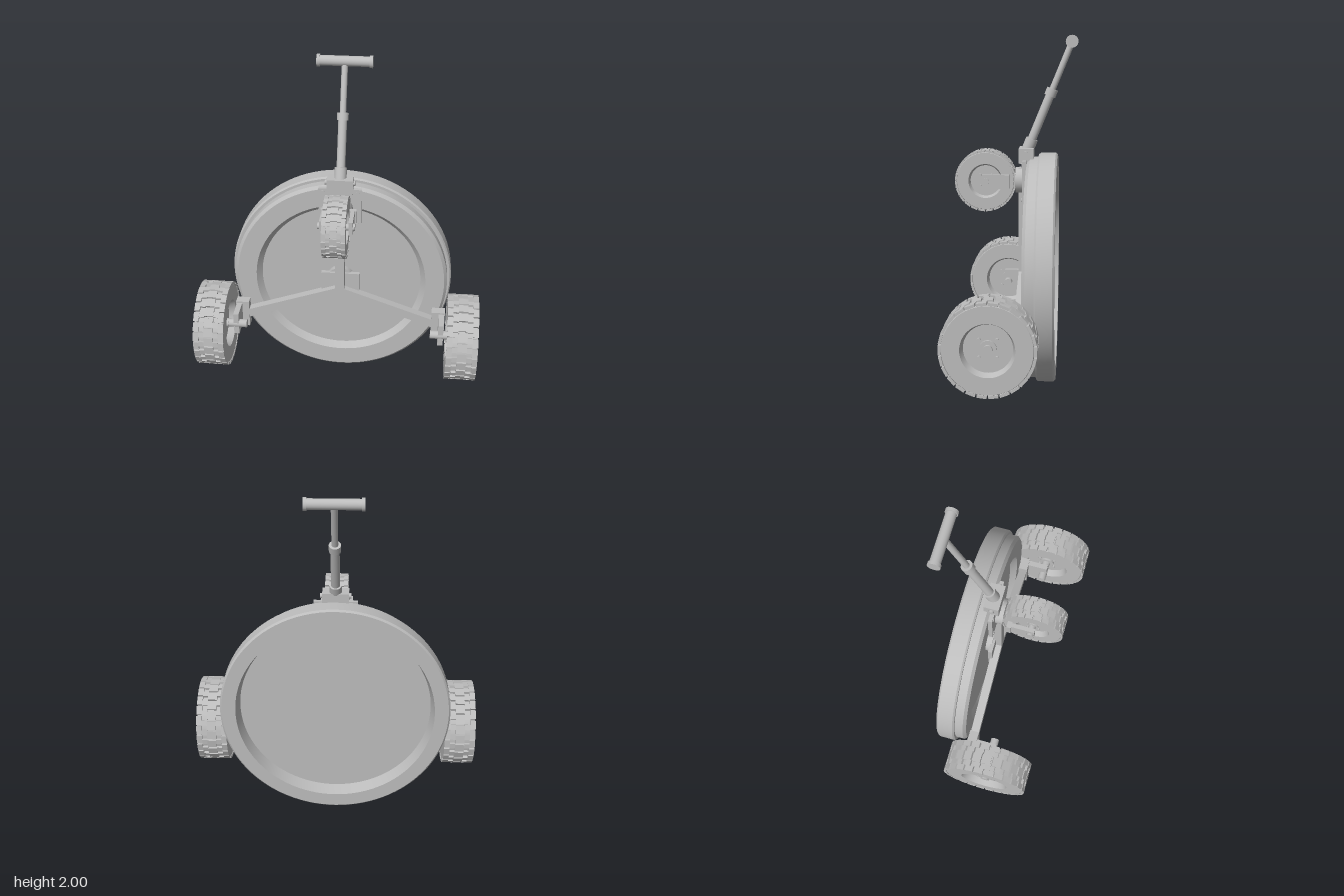
import * as THREE from 'three';
import { toCreasedNormals } from 'three/addons/utils/BufferGeometryUtils.js';

const grey = new THREE.MeshStandardMaterial({ color: 0xbcbcbc });
grey.name = 'grey metal';

function add(parent, name, geometry, x = 0, y = 0, z = 0) {
  const mesh = new THREE.Mesh(geometry, grey);
  mesh.name = name;
  mesh.position.set(x, y, z);
  parent.add(mesh);
  return mesh;
}

// Box given by its limits on each axis
function block(parent, name, x0, x1, y0, y1, z0, z1) {
  return add(parent, name, new THREE.BoxGeometry(x1 - x0, y1 - y0, z1 - z0),
    (x0 + x1) / 2, (y0 + y1) / 2, (z0 + z1) / 2);
}

// Cylinder between two points
function rod(parent, name, r, from, to, sides = 24) {
  const a = new THREE.Vector3(...from), b = new THREE.Vector3(...to);
  const mesh = add(parent, name, new THREE.CylinderGeometry(r, r, a.distanceTo(b), sides));
  mesh.position.copy(a).add(b).multiplyScalar(0.5);
  mesh.quaternion.setFromUnitVectors(new THREE.Vector3(0, 1, 0), b.sub(a).normalize());
  return mesh;
}

function lathe(points, sides) {
  const profile = points.map(([r, h]) => new THREE.Vector2(r, h));
  return toCreasedNormals(new THREE.LatheGeometry(profile, sides), 0.3);
}

// Wheel turning about x: tyre with dished rims, staggered tread blocks, hub and bolts
function makeWheel(name, R, h, rim, count) {
  const wheel = new THREE.Group();
  wheel.name = name;
  const base = R * 0.945, dish = h * 0.5;
  const half = [[0, dish], [rim * 0.9, dish], [rim, h * 0.96], [base * 0.985, h * 0.96], [base, h * 0.88]];
  const profile = [...half.map(([r, t]) => [r, -t]), ...half.slice().reverse()];
  add(wheel, 'tyreAndRim', lathe(profile, 64).rotateZ(-Math.PI / 2));

  // Tread rows: centre, width, block length in pitches, phase in pitches
  const pitch = (Math.PI * 2) / count, depth = R * 0.06;
  const rows = [[0, 0.6, 0.82, 0]];
  for (const s of [-1, 1]) rows.push([s * 0.47, 0.36, 0.5, 0.25], [s * 0.82, 0.36, 0.84, 0.5]);
  for (const [centre, width, length, phase] of rows) {
    const lug = new THREE.BoxGeometry(h * width, depth, R * pitch * length);
    for (let i = 0; i < count; i++) {
      const a = (i + phase) * pitch, r = R - depth / 2;
      add(wheel, 'treadBlock', lug, centre * h, Math.cos(a) * r, Math.sin(a) * r).rotation.x = a;
    }
  }
  for (const s of [-1, 1]) {
    rod(wheel, 'hubBoss', rim * 0.32, [s * dish * 0.8, 0, 0], [s * (dish + 0.012), 0, 0]);
    rod(wheel, 'hubNut', rim * 0.17, [s * dish * 0.8, 0, 0], [s * (dish + 0.027), 0, 0]);
    for (let i = 0; i < 4; i++) {
      const a = Math.PI / 4 + i * Math.PI / 2, y = Math.sin(a) * rim * 0.47, z = Math.cos(a) * rim * 0.47;
      rod(wheel, 'wheelBolt', rim * 0.07, [s * dish * 0.8, y, z], [s * (dish + 0.012), y, z], 12);
    }
  }
  return wheel;
}

export function createModel() {
  const model = new THREE.Group();
  model.name = 'wheeledInspectionMirror';

  // Round mirror with stepped casing, deeply recessed on the back
  const casing = [[0, -0.16], [0.555, -0.16], [0.575, -0.235], [0.655, -0.235], [0.665, -0.225],
    [0.665, -0.138], [0.657, -0.128], [0.642, -0.128], [0.642, -0.08], [0.625, -0.063],
    [0.513, -0.063], [0.482, -0.1], [0, -0.1]];
  add(model, 'mirrorDisc', lathe(casing, 96).rotateX(Math.PI / 2), 0, 0.667, 0);

  // Three-armed frame with centre mount
  rod(model, 'centreHub', 0.085, [0, 0.667, -0.11], [0, 0.667, -0.065], 32);
  block(model, 'centrePlate', -0.115, 0.115, 0.52, 0.725, -0.075, -0.05);
  block(model, 'upperArm', -0.028, 0.028, 0.62, 1.25, -0.063, -0.013);
  for (const s of [-1, 1]) {
    const dx = s * 0.58, dy = -0.205;
    const arm = add(model, 'lowerArm', new THREE.BoxGeometry(Math.hypot(dx, dy), 0.052, 0.05),
      dx / 2, 0.62 + dy / 2, -0.038);
    arm.rotation.z = Math.atan2(dy * s, dx * s);

    // Side wheel, its bracket and axle
    const bracket = new THREE.Group();
    bracket.name = 'sideBracket';
    model.add(bracket);
    block(bracket, 'bracketBlock', s * 0.6 - 0.04, s * 0.6 + 0.04, 0.33, 0.505, -0.065, -0.008);
    block(bracket, 'bracketTongue', s * 0.618 - 0.016, s * 0.618 + 0.016, 0.355, 0.495, -0.01, 0.115);
    rod(bracket, 'axle', 0.025, [s * 0.555, 0.418, 0.093], [s * 0.72, 0.418, 0.093]);
    const wheel = makeWheel('sideWheel', 0.253, 0.09, 0.143, 26);
    wheel.position.set(s * 0.74, 0.418, 0.097);
    model.add(wheel);
  }

  // Upper swivel wheel: plate, bolts, swivel and fork
  block(model, 'casterPlate', -0.125, 0.125, 1.05, 1.3, -0.062, -0.038);
  for (const x of [-0.1, 0.1]) for (const y of [1.075, 1.275])
    rod(model, 'plateBolt', 0.012, [x, y, -0.05], [x, y, -0.034], 12);
  rod(model, 'swivel', 0.075, [0, 1.177, -0.045], [0, 1.177, 0.005], 32);
  rod(model, 'swivelNeck', 0.04, [0, 1.177, 0], [0, 1.177, 0.05]);
  block(model, 'forkBridge', -0.102, 0.102, 1.137, 1.217, 0.036, 0.062);
  for (const s of [-1, 1]) {
    block(model, 'forkSide', s * 0.082 - 0.012, s * 0.082 + 0.012, 1.137, 1.217, 0.05, 0.195);
  }
  rod(model, 'casterAxle', 0.02, [-0.105, 1.177, 0.172], [0.105, 1.177, 0.172]);
  const caster = makeWheel('upperWheel', 0.175, 0.066, 0.098, 24);
  caster.position.set(0, 1.177, 0.176);
  model.add(caster);

  // Handle joint
  block(model, 'jointBlock', -0.075, 0.075, 1.28, 1.365, -0.1, -0.015);
  rod(model, 'jointPin', 0.015, [-0.088, 1.335, -0.055], [0.088, 1.335, -0.055], 16);

  // Telescopic handle leaning backwards
  const at = (y) => [0, y, -0.057 - (y - 1.34) * 0.409];
  rod(model, 'handleSocket', 0.035, at(1.34), at(1.415));
  rod(model, 'lowerTube', 0.025, at(1.34), at(1.68));
  rod(model, 'clampCollar', 0.033, at(1.66), at(1.7));
  rod(model, 'upperTube', 0.018, at(1.67), at(1.965));
  const [, gy, gz] = at(1.965);
  rod(model, 'gripBar', 0.029, [-0.15, gy, gz], [0.15, gy, gz], 32);
  for (const s of [-1, 1])
    rod(model, 'gripEnd', 0.035, [s * 0.14, gy, gz], [s * 0.158, gy, gz], 32);

  return model;
}
